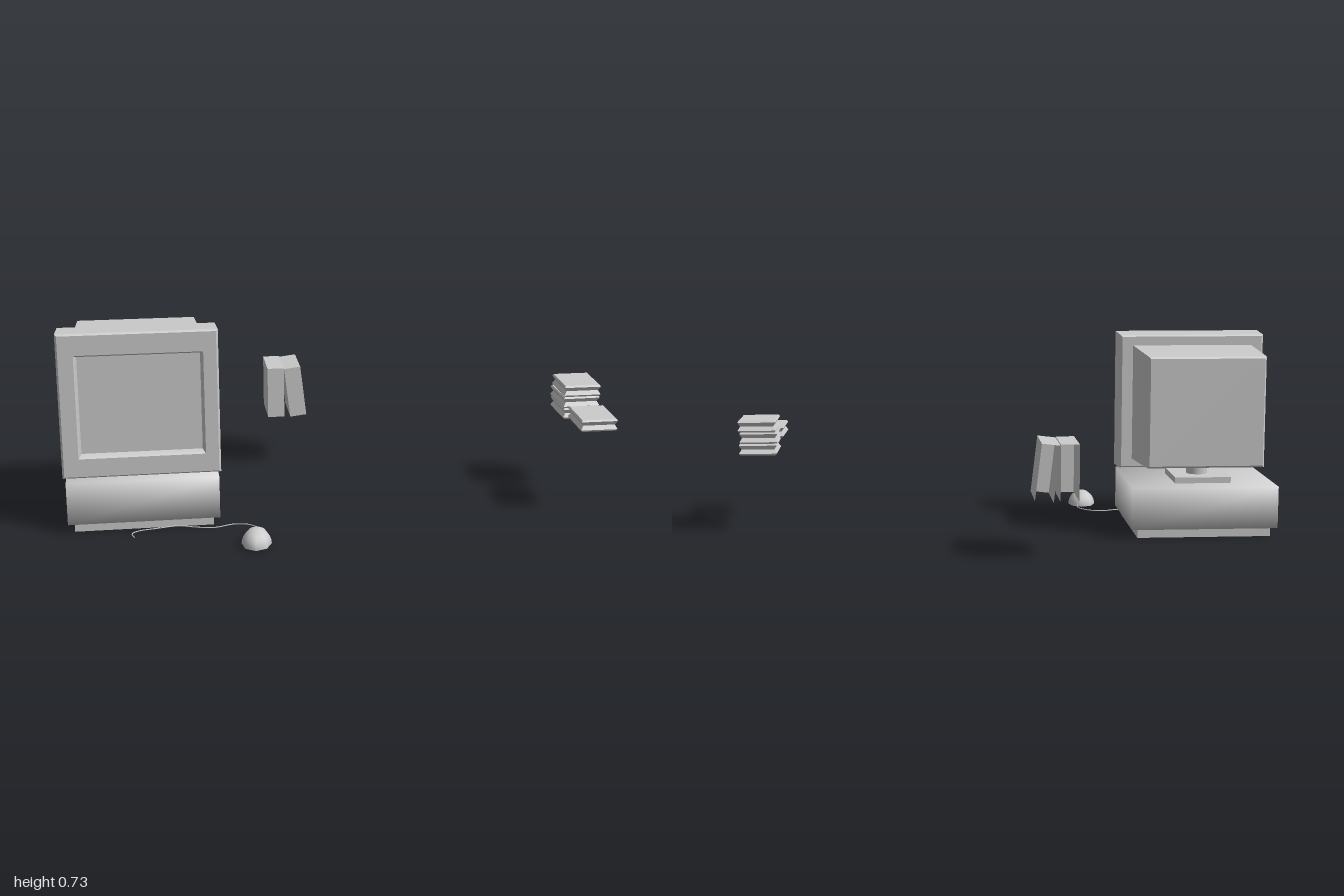
import * as THREE from 'three';
import { mergeVertices } from 'three/addons/utils/BufferGeometryUtils.js';

const grey = new THREE.MeshStandardMaterial({ color: 0xcccccc });
const thin = new THREE.MeshStandardMaterial({ color: 0xcccccc, side: THREE.DoubleSide });

// Flat-shaded skin over rectangular sections [z, x0, x1, y0, y1], with optional end caps
function loft(sections, capStart = true, capEnd = true) {
  const rings = sections.map(([z, x0, x1, y0, y1]) =>
    [[x0, y0, z], [x1, y0, z], [x1, y1, z], [x0, y1, z]]);
  const pos = [];
  const quad = (a, b, c, d) => pos.push(...a, ...b, ...c, ...a, ...c, ...d);
  for (let r = 0; r < rings.length - 1; r++) {
    const a = rings[r], b = rings[r + 1];
    for (let i = 0; i < 4; i++) {
      const j = (i + 1) % 4;
      quad(a[i], a[j], b[j], b[i]);
    }
  }
  if (capStart) quad(...rings[0].slice().reverse());
  if (capEnd) quad(...rings[rings.length - 1]);
  const geo = new THREE.BufferGeometry();
  geo.setAttribute('position', new THREE.Float32BufferAttribute(pos, 3));
  geo.computeVertexNormals();
  return geo;
}

function add(parent, name, geo, material = grey, x = 0, y = 0, z = 0) {
  const mesh = new THREE.Mesh(geo, material);
  mesh.name = name;
  mesh.position.set(x, y, z);
  parent.add(mesh);
  return mesh;
}

function boxBetween(parent, name, x0, x1, y0, y1, z0, z1) {
  return add(parent, name, new THREE.BoxGeometry(x1 - x0, y1 - y0, z1 - z0), grey,
    (x0 + x1) / 2, (y0 + y1) / 2, (z0 + z1) / 2);
}

// Box with soft normals running over its edges
function soften(geo) {
  geo.deleteAttribute('normal');
  geo.deleteAttribute('uv');
  const merged = mergeVertices(geo);
  merged.computeVertexNormals();
  return merged;
}

// Standing book: a shell open at the back and underneath
function standingBook(parent, name, x, y, z, tilt) {
  const geo = new THREE.BoxGeometry(0.065, 0.2, 0.185);
  const index = Array.from(geo.index.array);
  geo.setIndex([...index.slice(0, 18), ...index.slice(24, 30)]);
  add(parent, name, geo, thin, x, y, z).rotation.z = tilt;
}

// Lying book: pinched edges all round, open underneath
function lyingBook(parent, name, x, y, z, w, h, d, turn) {
  const levels = [[0, 0.004], [0.15, 0], [0.5, 0.009], [0.85, 0], [1, 0.004]];
  const geo = loft(levels.map(([t, inset]) =>
    [t * h, -w / 2 + inset, w / 2 - inset, -d / 2 + inset, d / 2 - inset]), false, true);
  geo.rotateX(-Math.PI / 2);
  add(parent, name, geo, thin, x, y, z).rotation.y = turn;
}

export function createModel() {
  const model = new THREE.Group();

  // Computer base with its inset foot
  const base = new THREE.Group();
  base.name = 'computerBase';
  model.add(base);
  boxBetween(base, 'foot', -0.967, -0.47, 0, 0.035, -0.175, 0.243);
  const unit = boxBetween(base, 'systemUnit', -0.99, -0.448, 0.034, 0.19, -0.195, 0.262);
  unit.geometry = soften(unit.geometry);

  // Monitor stand
  const monitor = new THREE.Group();
  monitor.name = 'monitor';
  model.add(monitor);
  boxBetween(monitor, 'standPlate', -0.83, -0.62, 0.189, 0.212, -0.107, 0.109);
  add(monitor, 'standNeck', new THREE.CylinderGeometry(0.04, 0.04, 0.05, 24), grey, -0.72, 0.233, -0.004);

  // Tapered rear housing with chamfered back edges
  add(monitor, 'rearHousing', loft([
    [-0.185, -0.93, -0.51, 0.268, 0.664],
    [-0.178, -0.936, -0.504, 0.261, 0.671],
    [0.135, -0.949, -0.491, 0.246, 0.686],
  ]));

  // Bezel: outer rim, front face, then stepping inward to the recessed screen
  add(monitor, 'bezelAndScreen', loft([
    [0.126, -0.99, -0.45, 0.216, 0.719],
    [0.132, -0.996, -0.444, 0.211, 0.725],
    [0.25, -1, -0.44, 0.206, 0.732],
    [0.257, -0.993, -0.447, 0.212, 0.726],
    [0.257, -0.94, -0.493, 0.278, 0.655],
    [0.248, -0.935, -0.498, 0.284, 0.649],
    [0.23, -0.93, -0.503, 0.289, 0.644],
  ]));

  // Mouse: open faceted dome
  const mouse = add(model, 'mouse',
    new THREE.SphereGeometry(1, 8, 6, 0, Math.PI * 2, 0, Math.PI / 2), thin, -0.334, 0.005, 0.449);
  mouse.scale.set(0.053, 0.057, 0.07);
  mouse.rotation.y = -0.12;

  // Mouse cable, running back under the base
  const path = [[-0.31, 0.39], [-0.308, 0.34], [-0.345, 0.288], [-0.4, 0.275], [-0.47, 0.296],
    [-0.53, 0.285], [-0.6, 0.262], [-0.68, 0.275], [-0.74, 0.288], [-0.765, 0.31], [-0.758, 0.345]];
  const curve = new THREE.CatmullRomCurve3(path.map(([x, z], i) =>
    new THREE.Vector3(x, 0.011 - i * 0.0003, z)));
  add(model, 'mouseCable', new THREE.TubeGeometry(curve, 60, 0.002, 5), thin);

  // Pair of standing books, one leaning on the other
  const standing = new THREE.Group();
  standing.name = 'standingBooks';
  model.add(standing);
  standingBook(standing, 'uprightBook', -0.181, 0.309, -0.433, 0);
  standingBook(standing, 'leaningBook', -0.104, 0.31, -0.433, 0.115);

  // Stack of three books and one single book
  const lying = new THREE.Group();
  lying.name = 'lyingBooks';
  model.add(lying);
  const stack = [[0.926, 0.302, 0], [0.924, 0.345, 0.015], [0.928, 0.388, -0.01]];
  stack.forEach(([x, y, turn], i) =>
    lyingBook(lying, `stackedBook${i + 1}`, x, y, 0.041, 0.139, 0.043, 0.172, turn));
  lyingBook(lying, 'singleBook', 0.918, 0.331, 0.282, 0.135, 0.044, 0.174, -0.015);

  return model;
}
